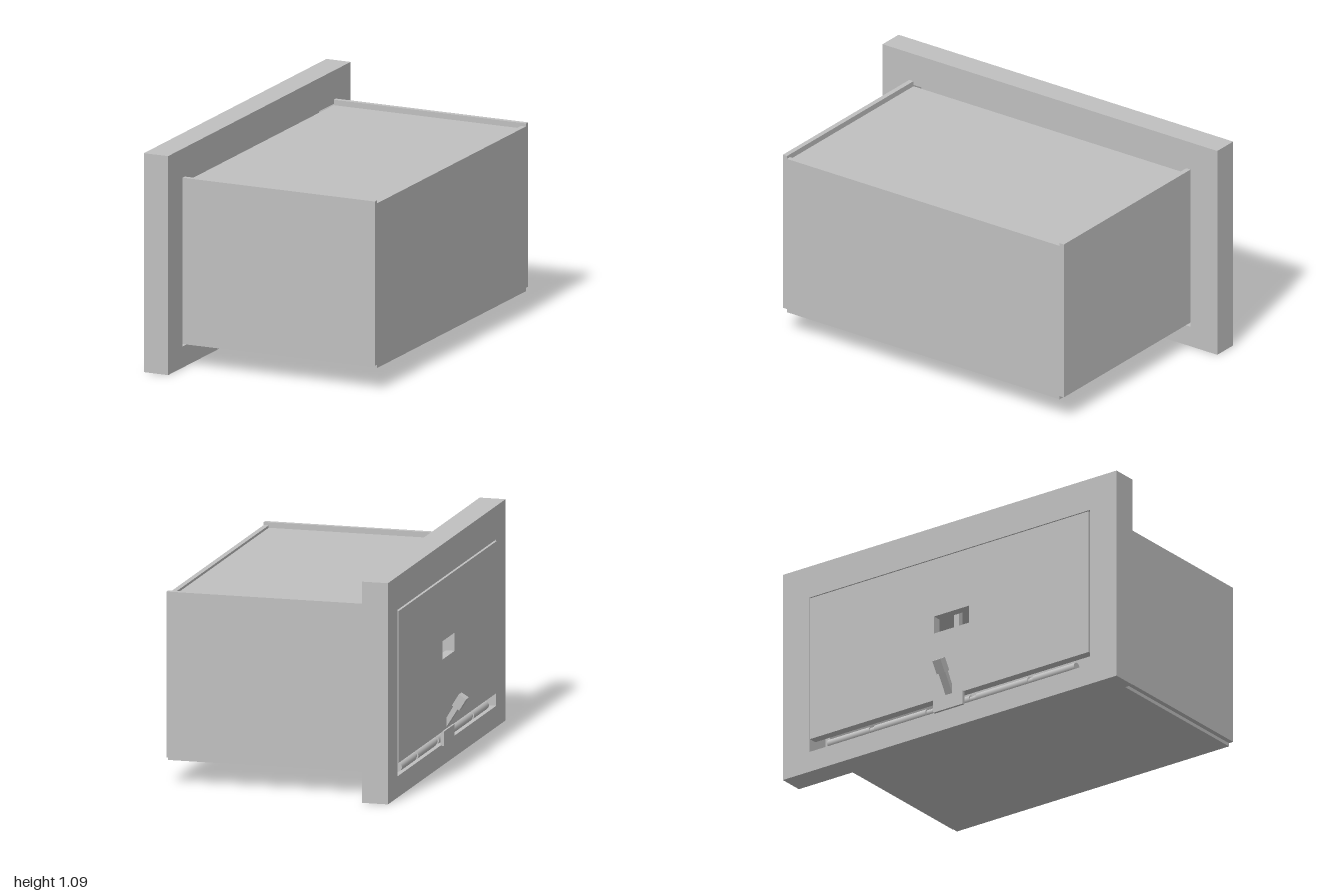
import * as THREE from 'three';

const steel = new THREE.MeshStandardMaterial({ color: 0xc0c0c0 });
steel.name = 'brushed grey';

export function createModel() {
  const model = new THREE.Group();
  model.name = 'drawerUnit';

  const add = (name, geometry) => {
    const mesh = new THREE.Mesh(geometry, steel);
    mesh.name = name;
    model.add(mesh);
    return mesh;
  };

  // Box given by its limits on each axis
  const box = (name, x0, x1, y0, y1, z0, z1) =>
    add(name, new THREE.BoxGeometry(x1 - x0, y1 - y0, z1 - z0))
      .position.set((x0 + x1) / 2, (y0 + y1) / 2, (z0 + z1) / 2);

  const trace = (path, z0, z1, y0, y1) =>
    path.moveTo(z0, y0).lineTo(z1, y0).lineTo(z1, y1).lineTo(z0, y1).closePath();

  // Upright plate in the zy plane with one rectangular opening
  const plate = (name, x0, x1, outer, hole) => {
    const shape = new THREE.Shape();
    trace(shape, ...outer);
    const opening = new THREE.Path();
    trace(opening, ...hole);
    shape.holes.push(opening);
    const geometry = new THREE.ExtrudeGeometry(shape, { depth: x1 - x0, bevelEnabled: false });
    geometry.rotateY(-Math.PI / 2).translate(x1, 0, 0);
    add(name, geometry);
  };

  // Surround and door panel with its small window
  plate('surround', -0.53, -0.4, [-1, 1, 0, 1.09], [-0.84, 0.84, 0.105, 0.925]);
  plate('doorPanel', -0.534, -0.49, [-0.835, 0.835, 0.17, 0.918], [-0.09, 0.12, 0.525, 0.615]);
  box('windowLatch', -0.49, -0.46, 0.5, 0.64, -0.005, 0.025);

  // Hollow case: sides stand proud of the top and stop above the floor
  for (const [name, s] of [['leftCaseWall', 1], ['rightCaseWall', -1]]) {
    const a = 0.815 * s, b = 0.84 * s;
    box(name, -0.4, 0.63, 0.127, 0.945, Math.min(a, b), Math.max(a, b));
  }
  box('caseBack', 0.605, 0.63, 0.11, 0.93, -0.815, 0.815);
  box('caseTop', -0.4, 0.605, 0.895, 0.918, -0.815, 0.815);
  box('caseFloor', -0.42, 0.605, 0.11, 0.127, -0.815, 0.815);

  // Latch rod along the slot, with slimmer necks between the thick lengths
  const rod = (name, r, z0, z1) =>
    add(name, new THREE.CylinderGeometry(r, r, z1 - z0, 24).rotateX(Math.PI / 2))
      .position.set(-0.5, 0.128, (z0 + z1) / 2);
  rod('rodCore', 0.017, -0.74, 0.74);
  const lengths = [[-0.74, -0.49], [-0.46, -0.15], [-0.11, 0.11], [0.15, 0.46], [0.49, 0.74]];
  for (const [z0, z1] of lengths) rod('rodLength', 0.023, z0, z1);

  // Catch block and tilted lever
  box('catchBlock', -0.543, -0.525, 0.1, 0.172, -0.09, 0.085);
  const side = (name, points, z0, z1) => {
    const shape = new THREE.Shape(points.map(([x, y]) => new THREE.Vector2(x, y)));
    add(name, new THREE.ExtrudeGeometry(shape, { depth: z1 - z0, bevelEnabled: false }).translate(0, 0, z0));
  };
  side('leverStem', [[-0.51, 0.14], [-0.49, 0.15], [-0.57, 0.285], [-0.592, 0.272]], -0.022, 0.018);
  side('leverHead', [[-0.6, 0.265], [-0.563, 0.288], [-0.598, 0.345], [-0.635, 0.322]], -0.026, 0.022);

  return model;
}
